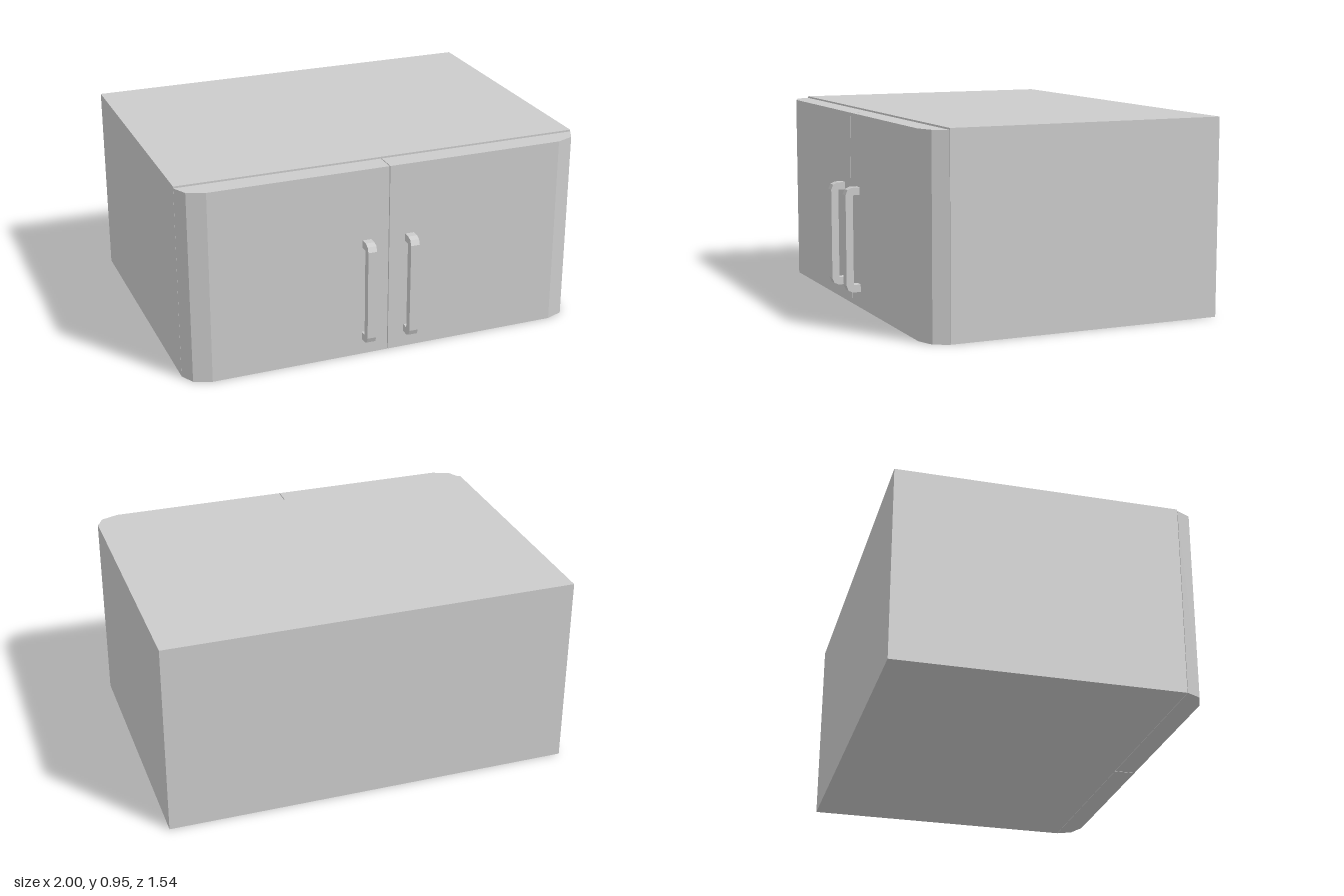
import * as THREE from 'three';

const material = new THREE.MeshStandardMaterial({ color: 0xcccccc, flatShading: true });

// Closed outline extruded to a given depth along its local z
function extrude(points, depth) {
  const shape = new THREE.Shape(points.map(([x, y]) => new THREE.Vector2(x, y)));
  return new THREE.ExtrudeGeometry(shape, { depth, bevelEnabled: false });
}

function addMesh(parent, name, geometry) {
  const mesh = new THREE.Mesh(geometry, material);
  mesh.name = name;
  parent.add(mesh);
  return mesh;
}

// Door: plan outline with a faceted outer corner, raised to door height
function doorGeometry(side) {
  const plan = [[0.002, 0.597], [1, 0.597], [0.965, 0.667], [0.88, 0.7], [0.002, 0.7]];
  return extrude(plan.map(([x, z]) => [side * x, -z]), 0.947).rotateX(-Math.PI / 2);
}

// Handle: C-shaped side outline (z, y) with faceted outer corners
function handleGeometry(centreX) {
  const width = 0.044;
  const outline = [
    [0.7, 0.08], [0.738, 0.08], [0.762, 0.09], [0.772, 0.115],
    [0.772, 0.56], [0.762, 0.585], [0.738, 0.595], [0.7, 0.595],
    [0.7, 0.558], [0.735, 0.558], [0.735, 0.117], [0.7, 0.117],
  ];
  return extrude(outline, width).rotateY(-Math.PI / 2).translate(centreX + width / 2, 0, 0);
}

export function createModel() {
  const group = new THREE.Group();
  group.name = 'cabinet';

  // Plain box carcass, slightly taller than the doors
  addMesh(group, 'carcass', new THREE.BoxGeometry(2, 0.955, 1.367).translate(0, 0.4775, -0.0885));

  // Pair of doors, each with its handle
  for (const [side, label, handleX] of [[1, 'left', 0.104], [-1, 'right', -0.112]]) {
    addMesh(group, label + 'Door', doorGeometry(side));
    addMesh(group, label + 'Handle', handleGeometry(handleX));
  }
  return group;
}
